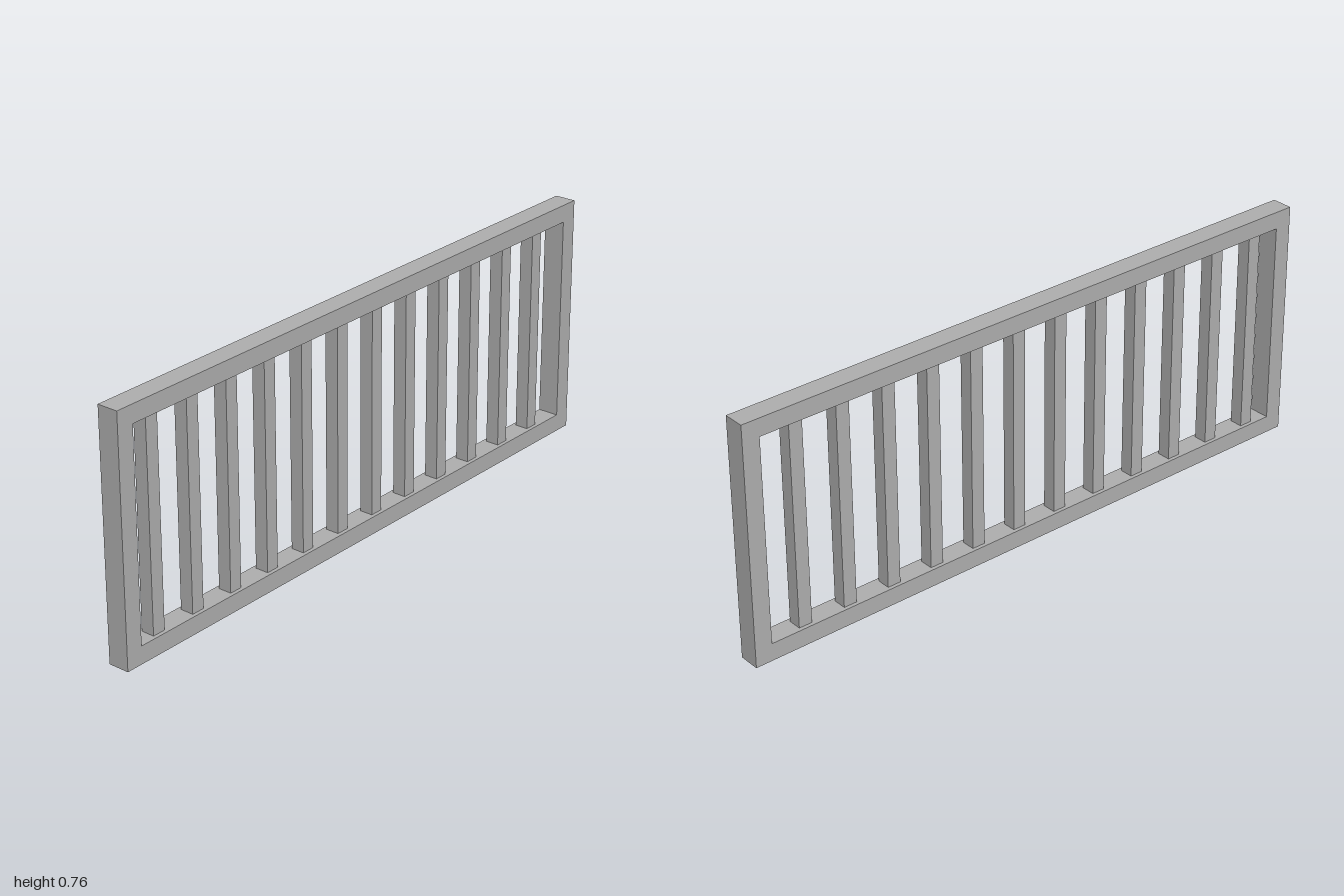
import * as THREE from 'three';

const WIDTH = 2, HEIGHT = 0.756, DEPTH = 0.067, BORDER = 0.055;
const BAR = 0.043, BAR_COUNT = 12, FIRST_BAR = -0.865, BAR_STEP = 0.1535;

// Rectangle outline centred on x = 0
function rectangle(PathType, halfWidth, bottom, top) {
  const path = new PathType();
  path.moveTo(-halfWidth, bottom);
  path.lineTo(halfWidth, bottom);
  path.lineTo(halfWidth, top);
  path.lineTo(-halfWidth, top);
  path.closePath();
  return path;
}

export function createModel() {
  const model = new THREE.Group();
  model.name = 'railing';

  const grey = new THREE.MeshStandardMaterial({ color: 0xb0b0b0 });
  grey.name = 'grey';

  // Outer frame with one large opening
  const outline = rectangle(THREE.Shape, WIDTH / 2, 0, HEIGHT);
  outline.holes.push(rectangle(THREE.Path, WIDTH / 2 - BORDER, BORDER, HEIGHT - BORDER));
  const frameGeometry = new THREE.ExtrudeGeometry(outline, { depth: DEPTH, bevelEnabled: false });
  frameGeometry.translate(0, 0, -DEPTH / 2);
  const frame = new THREE.Mesh(frameGeometry, grey);
  frame.name = 'frame';
  model.add(frame);

  // Square upright bars between the bottom and top rails
  const bars = new THREE.Group();
  bars.name = 'bars';
  const barGeometry = new THREE.BoxGeometry(BAR, HEIGHT - 2 * BORDER, BAR);
  for (let i = 0; i < BAR_COUNT; i++) {
    const bar = new THREE.Mesh(barGeometry, grey);
    bar.name = `bar${i + 1}`;
    bar.position.set(FIRST_BAR + i * BAR_STEP, HEIGHT / 2, 0);
    bars.add(bar);
  }
  model.add(bars);

  return model;
}
